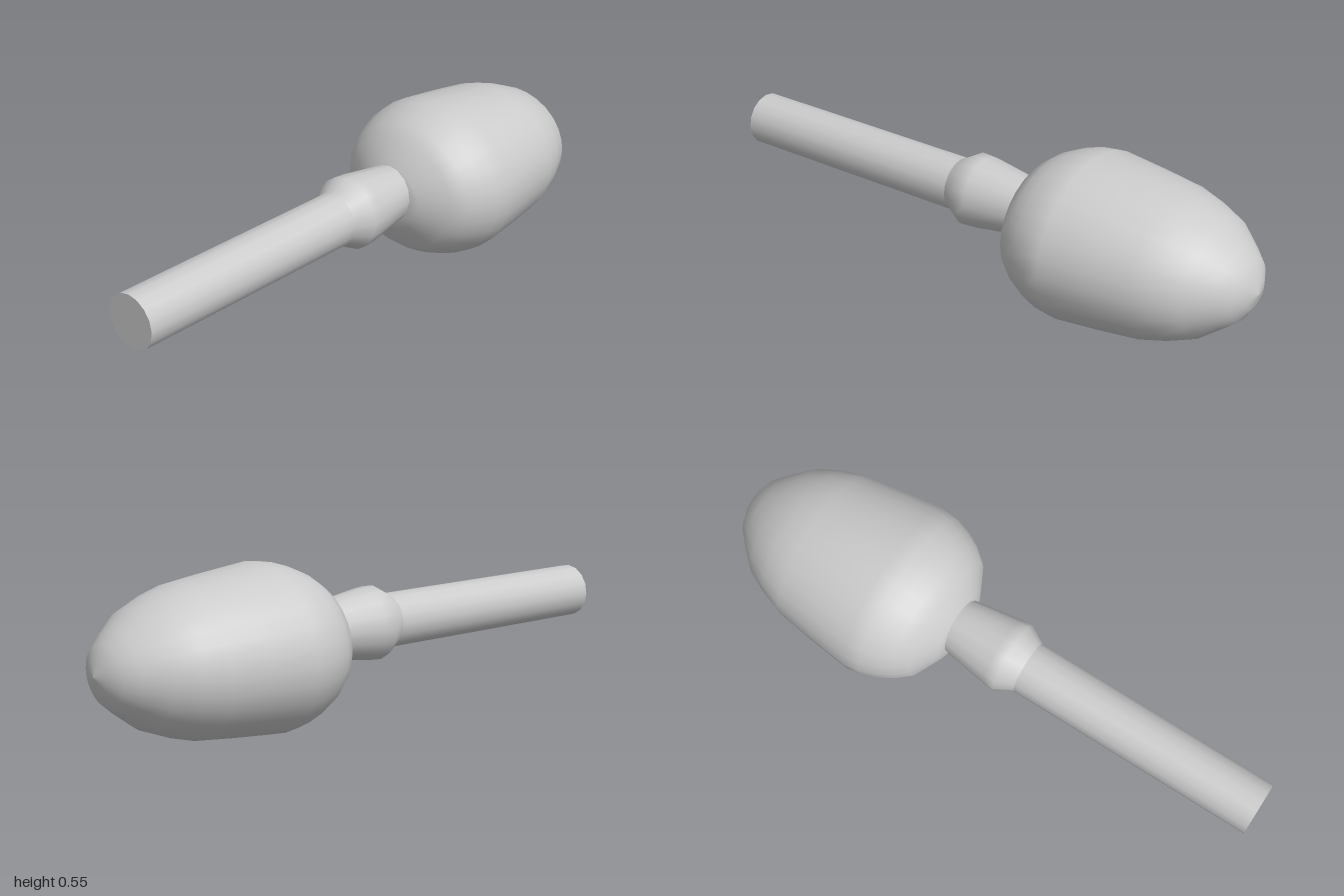
import * as THREE from 'three';

const material = new THREE.MeshStandardMaterial({ color: 0xcccccc });

// Turned solid lying along +x; profile entries are [x, radius]
function turned(name, profile, sides) {
  const points = profile.map(([x, r]) => new THREE.Vector2(r, x));
  const geometry = new THREE.LatheGeometry(points, sides);
  geometry.rotateZ(-Math.PI / 2);
  const mesh = new THREE.Mesh(geometry, material);
  mesh.name = name;
  return mesh;
}

export function createModel() {
  const group = new THREE.Group();
  group.name = 'bulbHeadedTool';

  // Egg-shaped head, wider than it is tall
  const head = turned('head', [
    [0.135, 0], [0.137, 0.28], [0.15, 0.41], [0.2, 0.71], [0.245, 0.83],
    [0.29, 0.91], [0.345, 0.975], [0.4, 1], [0.55, 0.945], [0.69, 0.883],
    [0.77, 0.8], [0.85, 0.68], [0.92, 0.48], [0.96, 0.35], [0.985, 0.18], [0.998, 0],
  ], 28);
  head.scale.set(1, 0.276, 0.318);
  head.position.y = 0.278;
  group.add(head);

  // Handle and collar rise slightly towards the head
  const stem = new THREE.Group();
  stem.name = 'stem';
  stem.position.y = 0.294;
  stem.rotation.z = 0.011;
  group.add(stem);

  // Repeated profile point keeps the end cap's edge sharp
  stem.add(turned('handle', [
    [-1, 0], [-1, 0.092], [-1, 0.092], [-0.1, 0.092],
  ], 16));

  // Flared collar tapering into the head
  stem.add(turned('collar', [
    [-0.13, 0.09], [-0.115, 0.096], [-0.065, 0.126], [-0.025, 0.123],
    [0.14, 0.098], [0.18, 0.092],
  ], 16));

  return group;
}
